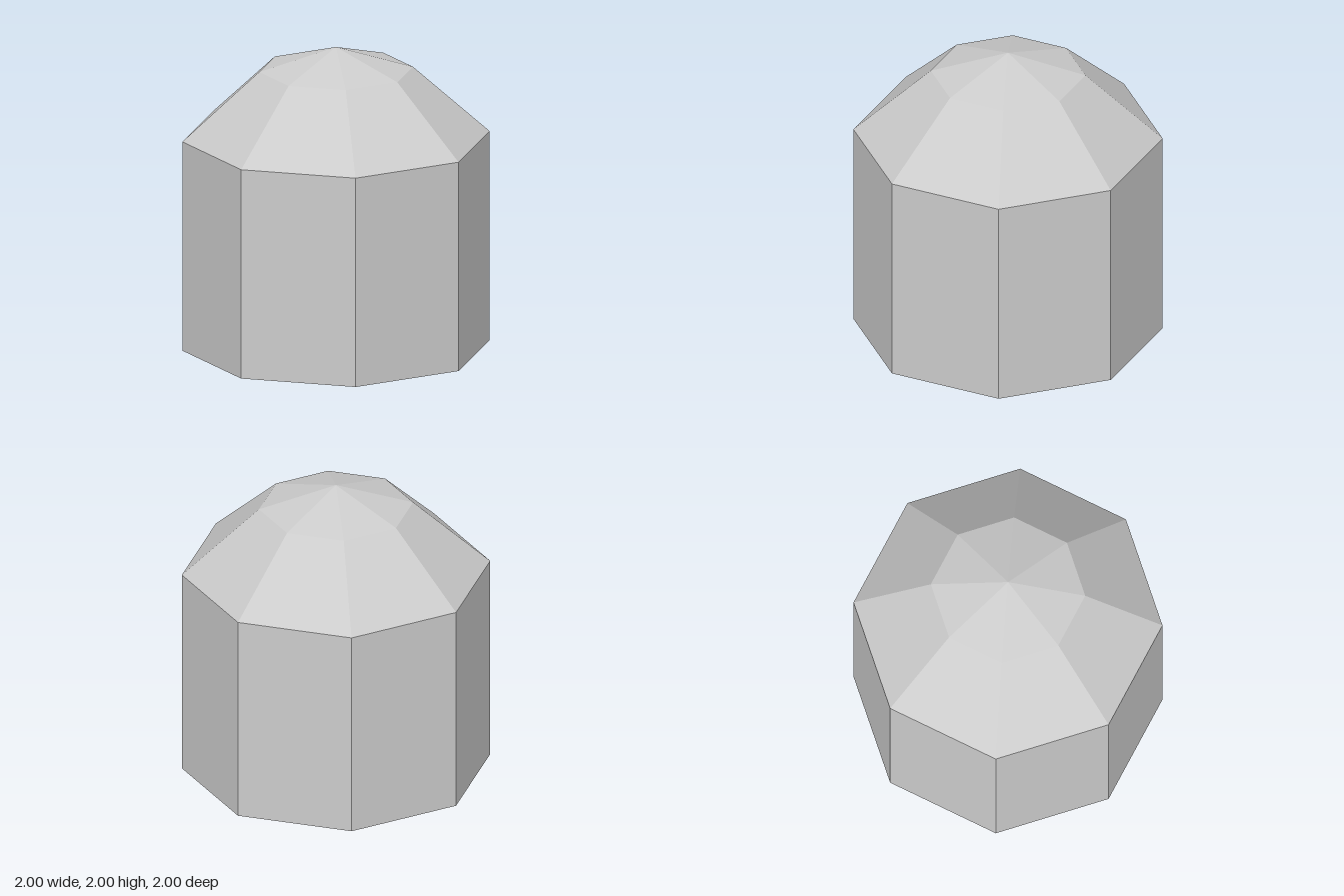
import * as THREE from 'three';

const SIDES = 8;

export function createModel() {
  const model = new THREE.Group();
  const material = new THREE.MeshStandardMaterial({ color: 0xcccccc, flatShading: true });

  const add = (name, geometry, y) => {
    const mesh = new THREE.Mesh(geometry, material);
    mesh.name = name;
    mesh.position.y = y;
    model.add(mesh);
    return mesh;
  };

  // Octagonal ring of faces standing on height y, open at both ends
  const tier = (name, rBottom, rTop, y, height) =>
    add(name, new THREE.CylinderGeometry(rTop, rBottom, height, SIDES, 1, true), y + height / 2);

  // Upright walls
  tier('wall', 1, 1, 0, 1.4);

  // Two-stage faceted dome
  tier('lowerRoof', 1, 0.5, 1.4, 0.45);
  add('roofCap', new THREE.ConeGeometry(0.5, 0.15, SIDES, 1, true), 1.925);

  // Underside
  add('base', new THREE.CircleGeometry(1, SIDES), 0).rotation.x = Math.PI / 2;

  return model;
}
